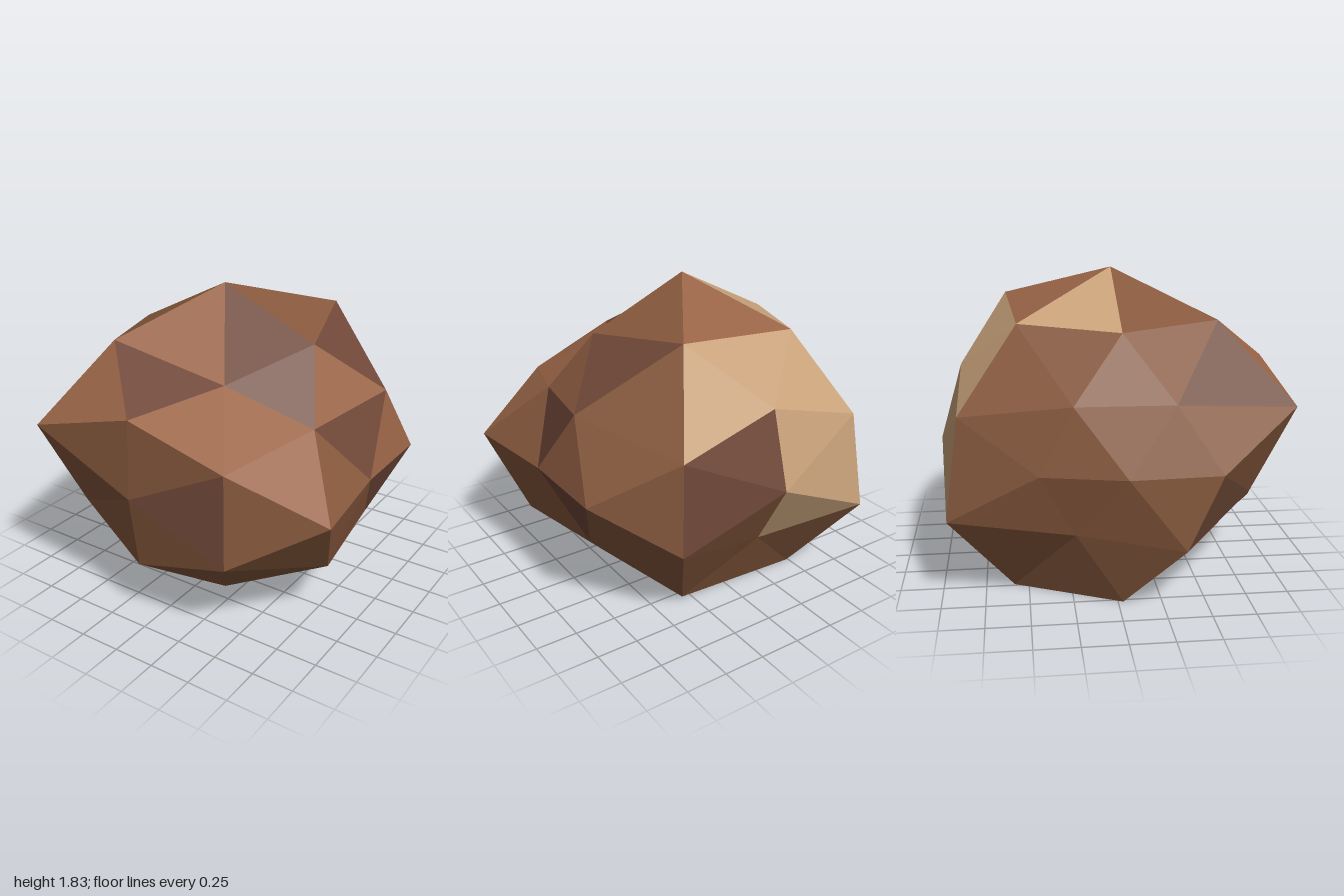
import * as THREE from 'three';

// Radii of the boulder's 42 corners, by family of directions
const FAMILIES = [
  { dir: [1, 0, 0], r: [0.765, 0.70] },
  { dir: [0, 1, 0], r: [1.02, 0.81] },
  { dir: [0, 0, 1], r: [0.78, 0.839] },
  { dir: [0.526, 0.851, 0], r: [0.88, 0.843, 0.85, 1.0] },
  { dir: [0, 0.526, 0.851], r: [0.893, 0.86, 0.856, 0.77] },
  { dir: [0.851, 0, 0.526], r: [0.965, 0.898, 0.80, 0.73] },
  { dir: [0.309, 0.809, 0.5], r: [0.70, 1.02, 0.845, 0.975, 0.93, 0.925, 0.775, 1.0] },
  { dir: [0.5, 0.309, 0.809], r: [0.87, 0.906, 0.908, 0.915, 0.98, 0.91, 0.765, 0.985] },
  { dir: [0.809, 0.5, 0.309], r: [0.73, 0.865, 0.87, 0.795, 0.725, 0.745, 0.85, 0.72] },
];

// Facets that differ from the main brown, as sorted corner numbers
const PATCHES = {
  sandPatch: ['2,8,23', '11,19,23', '11,19,27', '11,23,31', '5,11,31', '5,31,33', '5,13,33'],
  darkFacets: ['2,6,18', '10,18,22', '6,18,34', '6,19,35', '0,34,35', '0,15,37', '4,26,28',
    '5,11,27', '5,27,29', '22,30,38', '16,32,40'],
  lightFacets: ['2,18,22', '10,22,30', '10,18,26', '18,26,34', '6,34,35', '2,19,23',
    '14,26,34', '0,15,35'],
};

const COLORS = {
  stoneFacets: ['brown', 0x87593d],
  sandPatch: ['sand', 0xc8a27a],
  darkFacets: ['dark red brown', 0x704838],
  lightFacets: ['light brown', 0x9a6547],
};

// Every sign combination of each family gives one corner
function makeCorners() {
  const corners = [];
  for (const { dir, r } of FAMILIES) {
    const signs = dir.map((v) => (v ? [1, -1] : [1]));
    let i = 0;
    for (const sx of signs[0]) for (const sy of signs[1]) for (const sz of signs[2]) {
      const d = new THREE.Vector3(dir[0] * sx, dir[1] * sy, dir[2] * sz);
      const k = r[i++];
      const p = new THREE.Vector3(
        -0.08 + d.x * k * 1.32,
        Math.max(0, 0.81 + d.y * k),
        0.03 + d.z * k * 1.228,
      );
      corners.push({ d, p });
    }
  }
  return corners;
}

export function createModel() {
  const group = new THREE.Group();
  group.name = 'boulder';
  const corners = makeCorners();
  const sphere = new THREE.IcosahedronGeometry(1, 1).getAttribute('position');
  const facets = { stoneFacets: [], sandPatch: [], darkFacets: [], lightFacets: [] };
  const v = new THREE.Vector3();

  // Match each sphere facet to its three corners and sort it by colour
  for (let f = 0; f < sphere.count; f += 3) {
    const ids = [0, 1, 2].map((j) => {
      v.fromBufferAttribute(sphere, f + j);
      let best = 0;
      corners.forEach((c, i) => { if (c.d.dot(v) > corners[best].d.dot(v)) best = i; });
      return best;
    });
    const key = [...ids].sort((a, b) => a - b).join(',');
    const part = Object.keys(PATCHES).find((n) => PATCHES[n].includes(key)) || 'stoneFacets';
    for (const i of ids) facets[part].push(...corners[i].p.toArray());
  }

  // One flat-shaded mesh per colour
  for (const [name, points] of Object.entries(facets)) {
    const geometry = new THREE.BufferGeometry();
    geometry.setAttribute('position', new THREE.Float32BufferAttribute(points, 3));
    geometry.computeVertexNormals();
    const material = new THREE.MeshStandardMaterial({ color: COLORS[name][1] });
    material.name = COLORS[name][0];
    const mesh = new THREE.Mesh(geometry, material);
    mesh.name = name;
    group.add(mesh);
  }
  return group;
}
